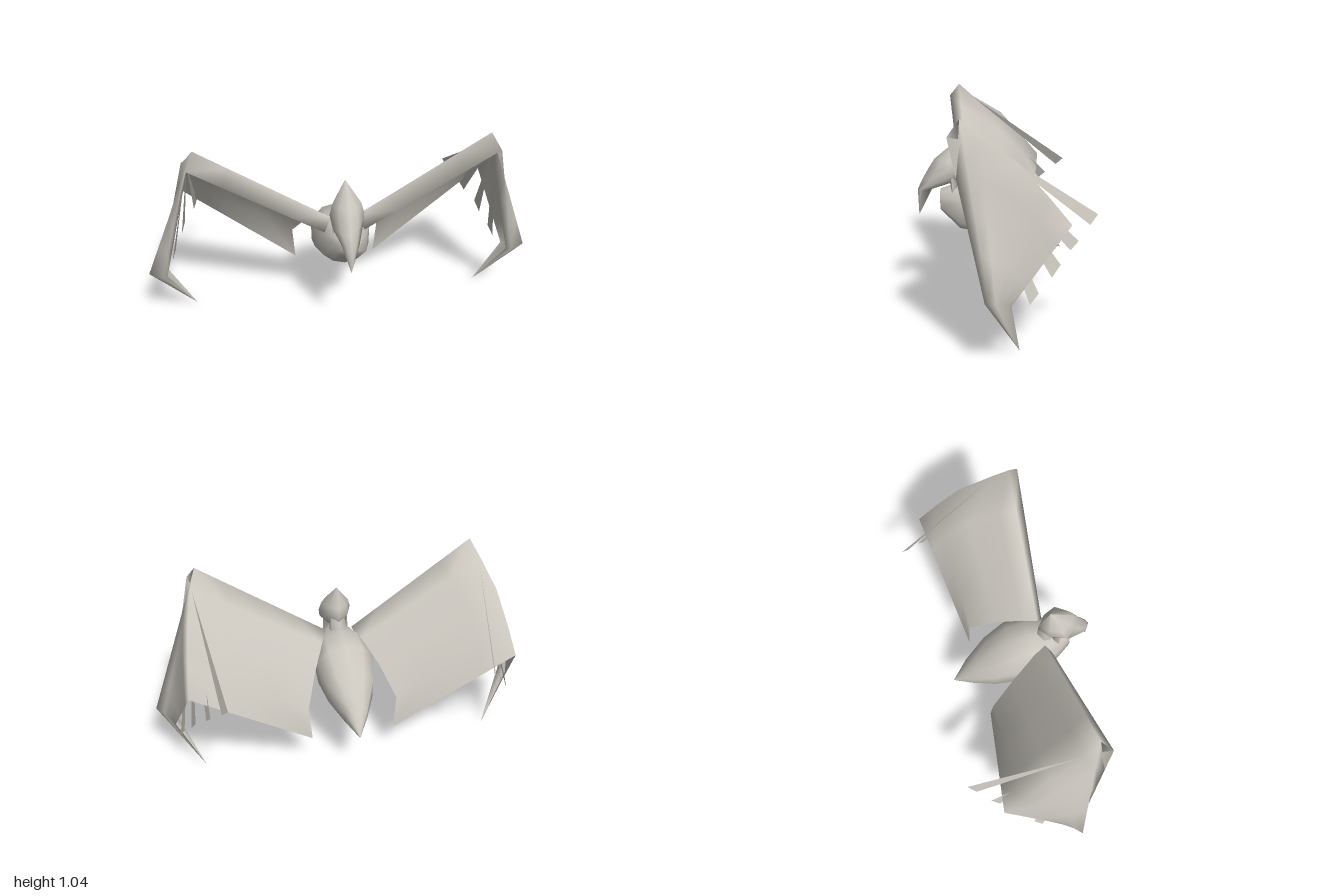
import * as THREE from 'three';

const V = (p) => new THREE.Vector3(...p);

// Skin a list of equal-length cross-sections; closed wraps each section round.
function loft(sections, closed) {
  const n = sections[0].length, pos = sections.flat(2), idx = [];
  const m = closed ? n : n - 1;
  for (let i = 0; i + 1 < sections.length; i++) {
    for (let j = 0; j < m; j++) {
      const a = i * n + j, b = i * n + (j + 1) % n, c = a + n, d = b + n;
      idx.push(a, c, b, b, c, d);
    }
  }
  const g = new THREE.BufferGeometry();
  g.setAttribute('position', new THREE.Float32BufferAttribute(pos, 3));
  g.setIndex(idx);
  g.computeVertexNormals();
  return g;
}

// Rows from one section up to, but not including, the next
function between(a, b, steps) {
  const rows = [];
  for (let i = 0; i < steps; i++) {
    rows.push(a.map((p, j) => V(p).lerp(V(b[j]), i / steps).toArray()));
  }
  return rows;
}

// Half outline followed by its mirror image, as one closed ring
const ringOf = (half) => [...half, ...half.slice(1, -1).reverse().map(([u, v]) => [-u, v])];

export function createModel() {
  const group = new THREE.Group();
  const stone = new THREE.MeshStandardMaterial({ color: 0xcac6be, side: THREE.DoubleSide });
  stone.name = 'warmGrey';
  const add = (name, geometry, parent = group) => {
    const mesh = new THREE.Mesh(geometry, stone);
    mesh.name = name;
    parent.add(mesh);
  };

  // Body: flat-sided rings from chest to tail point [z, halfWidth, top, bottom]
  const bodyRing = ringOf([[0, 1], [0.6, 0.92], [1, 0.69], [0.99, 0.23], [0.55, 0.065], [0, 0]]);
  const body = [
    [0.305, 0, 0.52, 0.51], [0.303, 0.057, 0.57, 0.46], [0.2, 0.112, 0.605, 0.355],
    [0.1, 0.143, 0.62, 0.338], [0, 0.149, 0.6, 0.325], [-0.12, 0.12, 0.51, 0.295],
    [-0.24, 0.06, 0.39, 0.266], [-0.33, 0, 0.247, 0.245],
  ].map(([z, w, top, low]) => bodyRing.map(([u, v]) => [u * w, low + v * (top - low), z]));
  add('body', loft(body, true));

  // Head: pointed rings from crest tip to hooked beak [y, front, back, halfWidth]
  const headRing = ringOf([[0, 1], [0.55, 0.82], [1, 0.55], [0.65, 0.2], [0, 0]]);
  const head = [
    [0.837, 0.2, 0.2, 0], [0.73, 0.33, 0.15, 0.073], [0.68, 0.362, 0.14, 0.086],
    [0.625, 0.393, 0.165, 0.076], [0.57, 0.42, 0.345, 0.042], [0.433, 0.415, 0.415, 0],
  ].map(([y, f, b, w]) => headRing.map(([u, v]) => [u * w, y, b + v * (f - b)]));
  add('head', loft(head, true));

  // Neck tapers from the shoulders up into the head
  const neckRing = ringOf([[0, 1], [0.9, 0.7], [0.9, 0.3], [0, 0]]);
  const neck = [[0.55, 0.05, 0.225, 0.12], [0.67, 0.04, 0.225, 0.155]]
    .map(([y, w, f, b]) => neckRing.map(([u, v]) => [u * w, y, b + v * (f - b)]));
  add('neck', loft(neck, true));

  // Sections run under the bone, round its front and back over the membrane
  const root = [[0.11, 0.575, 0.085], [0.1, 0.53, 0.13], [0.1, 0.54, 0.195], [0.07, 0.61, 0.16],
    [0.105, 0.58, 0.085], [0.17, 0.49, -0.04], [0.235, 0.35, -0.17], [0.22, 0.17, -0.185]];
  const elbow = [[0.755, 0.957, 0.12], [0.745, 0.948, 0.15], [0.76, 0.967, 0.255], [0.72, 1.04, 0.2],
    [0.755, 0.965, 0.12], [0.79, 0.86, -0.05], [0.815, 0.715, -0.18], [0.83, 0.595, -0.28]];
  const wrist = [[0.94, 0.285, 0.06], [0.91, 0.275, 0.075], [0.93, 0.28, 0.1], [1.0, 0.305, 0.085],
    [0.965, 0.29, 0.055], [0.945, 0.28, 0.03], [0.925, 0.27, 0.005], [0.91, 0.26, -0.015]];
  const tip = wrist.map(() => [0.78, 0, -0.06]);

  // Loose feathers: pointed root, then the upper and lower corners of the end
  const feathers = [
    [[0.746, 0.953, 0.11], [0.66, 0.597, -0.418], [0.688, 0.555, -0.38]],
    [[0.752, 0.94, 0.14], [0.74, 0.497, -0.322], [0.76, 0.46, -0.283]],
    [[0.754, 0.94, 0.15], [0.812, 0.412, -0.235], [0.833, 0.36, -0.195]],
    [[0.757, 0.94, 0.16], [0.87, 0.302, -0.135], [0.89, 0.258, -0.095]],
  ];

  for (const side of [1, -1]) {
    const name = side > 0 ? 'left' : 'right';
    const mirror = (sections) => sections.map((s) => s.map(([x, y, z]) => [x * side, y, z]));
    const wing = new THREE.Group();
    wing.name = name + 'Wing';
    group.add(wing);
    const span = [...between(root, elbow, 4), ...between(elbow, wrist, 4), wrist, tip];
    add(name + 'WingSkin', loft(mirror(span), false), wing);
    for (const [r, p, q] of feathers) {
      add(name + 'Feather', loft(mirror([[r, r], [p, q]]), false), wing);
    }
    // Pointed cheek spike under the head
    const spike = [[[0.03, 0.655, 0.26], [0.065, 0.66, 0.245], [0.03, 0.655, 0.19]],
      [0, 0, 0].map(() => [0.07, 0.535, 0.237])];
    add(name + 'Cheek', loft(mirror(spike), true));
  }
  return group;
}
